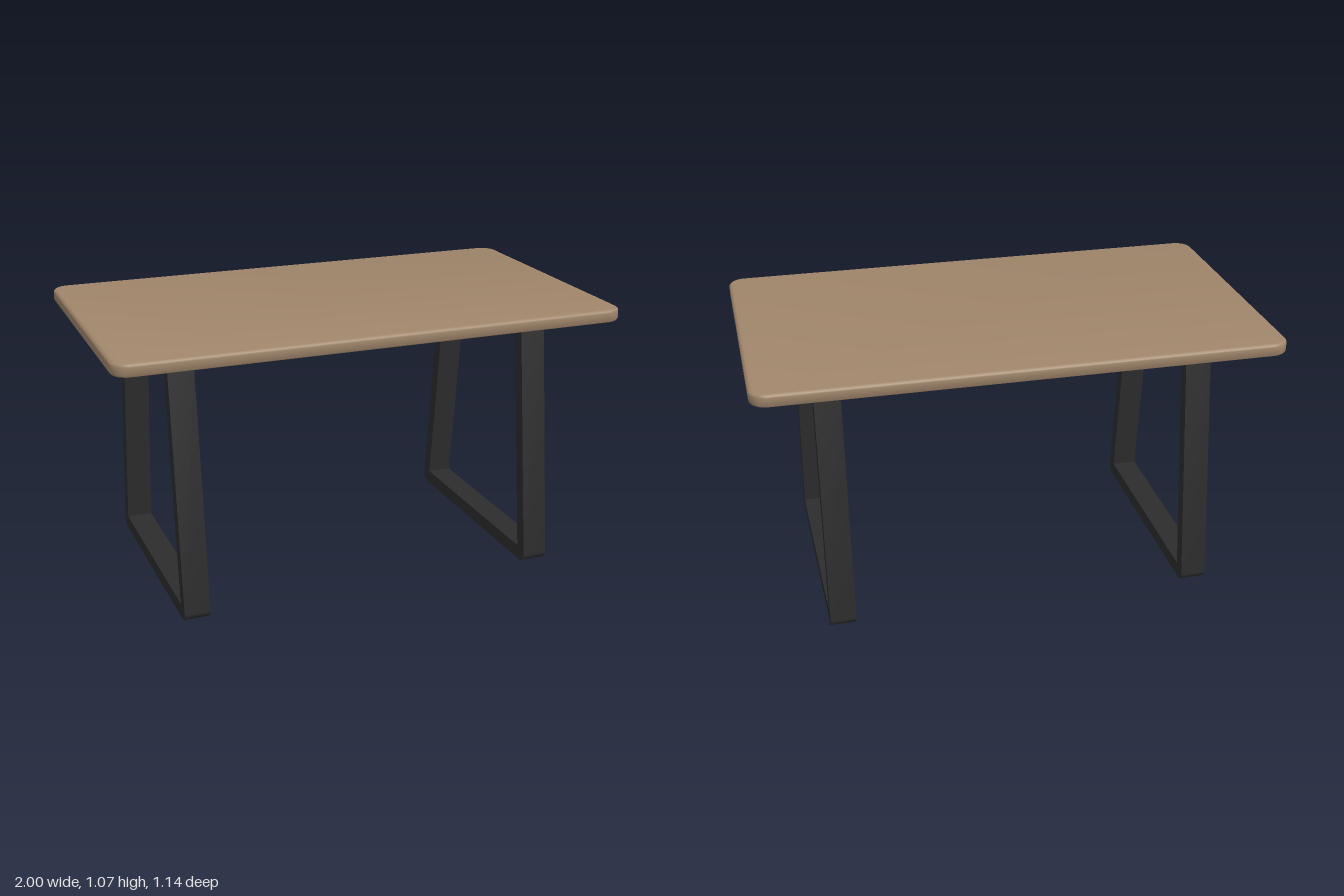
import * as THREE from 'three';
import { toCreasedNormals } from 'three/addons/utils/BufferGeometryUtils.js';

// Closed polygon whose corners are rounded; r is the tangent length at each corner
function roundedPolygon(points, r) {
  const pts = points.map(([x, y]) => new THREE.Vector2(x, y));
  const shape = new THREE.Shape();
  pts.forEach((p, i) => {
    const prev = pts[(i + pts.length - 1) % pts.length];
    const next = pts[(i + 1) % pts.length];
    const toward = (q, d) => p.clone().add(q.clone().sub(p).setLength(d));
    const a = toward(prev, r), b = toward(next, r);
    const c1 = toward(prev, r * 0.45), c2 = toward(next, r * 0.45);
    if (i === 0) shape.moveTo(a.x, a.y);
    else shape.lineTo(a.x, a.y);
    shape.bezierCurveTo(c1.x, c1.y, c2.x, c2.y, b.x, b.y);
  });
  shape.closePath();
  return shape;
}

// Symmetric trapezoid corners, counter-clockwise
const trapezoid = (bottomHalf, topHalf, y0, y1) =>
  [[-bottomHalf, y0], [bottomHalf, y0], [topHalf, y1], [-topHalf, y1]];

export function createModel() {
  const wood = new THREE.MeshStandardMaterial({ color: 0xa0866b });
  wood.name = 'wood';
  const blackMetal = new THREE.MeshStandardMaterial({ color: 0x2d2d2d });
  blackMetal.name = 'blackMetal';

  const table = new THREE.Group();
  table.name = 'table';
  const add = (parent, name, geometry, material, x = 0, y = 0, z = 0) => {
    const mesh = new THREE.Mesh(geometry, material);
    mesh.name = name;
    mesh.position.set(x, y, z);
    parent.add(mesh);
  };

  // Tabletop: rounded slab with softened edges
  const bevel = 0.012, thickness = 0.05;
  const halfX = 1 - bevel, halfZ = 0.57 - bevel;
  const topGeometry = new THREE.ExtrudeGeometry(
    roundedPolygon(trapezoid(halfX, halfX, -halfZ, halfZ), 0.052),
    {
      depth: thickness - 2 * bevel, bevelThickness: bevel, bevelSize: bevel,
      bevelSegments: 4, curveSegments: 8,
    });
  topGeometry.rotateX(-Math.PI / 2);
  add(table, 'tabletop', toCreasedNormals(topGeometry, 0.6), wood, 0, 1.022 + bevel, 0);

  // Leg frames: tapered loops, rounded outside and sharp inside
  const frameShape = roundedPolygon(trapezoid(0.488, 0.365, 0.008, 1.022), 0.042);
  const opening = trapezoid(0.428, 0.318, 0.064, 0.967).map(([x, y]) => new THREE.Vector2(x, y));
  frameShape.holes.push(new THREE.Path(opening.reverse()));
  const frameGeometry = new THREE.ExtrudeGeometry(frameShape,
    { depth: 0.1, bevelEnabled: false, curveSegments: 8 });
  frameGeometry.translate(0, 0, -0.05);
  frameGeometry.rotateY(-Math.PI / 2);
  const legFrame = toCreasedNormals(frameGeometry, 0.6);
  const footPad = new THREE.CylinderGeometry(0.024, 0.024, 0.01, 24);

  for (const side of [-1, 1]) {
    const leg = new THREE.Group();
    leg.name = side > 0 ? 'leftLeg' : 'rightLeg';
    leg.position.x = side * 0.714;
    add(leg, 'legFrame', legFrame, blackMetal);
    for (const z of [-0.387, 0.387]) add(leg, 'footPad', footPad, blackMetal, 0, 0.005, z);
    table.add(leg);
  }

  // Crossbar under the top, joining the two frames
  add(table, 'crossbar', new THREE.BoxGeometry(1.33, 0.04, 0.05), blackMetal, 0, 1.002, 0);

  return table;
}
